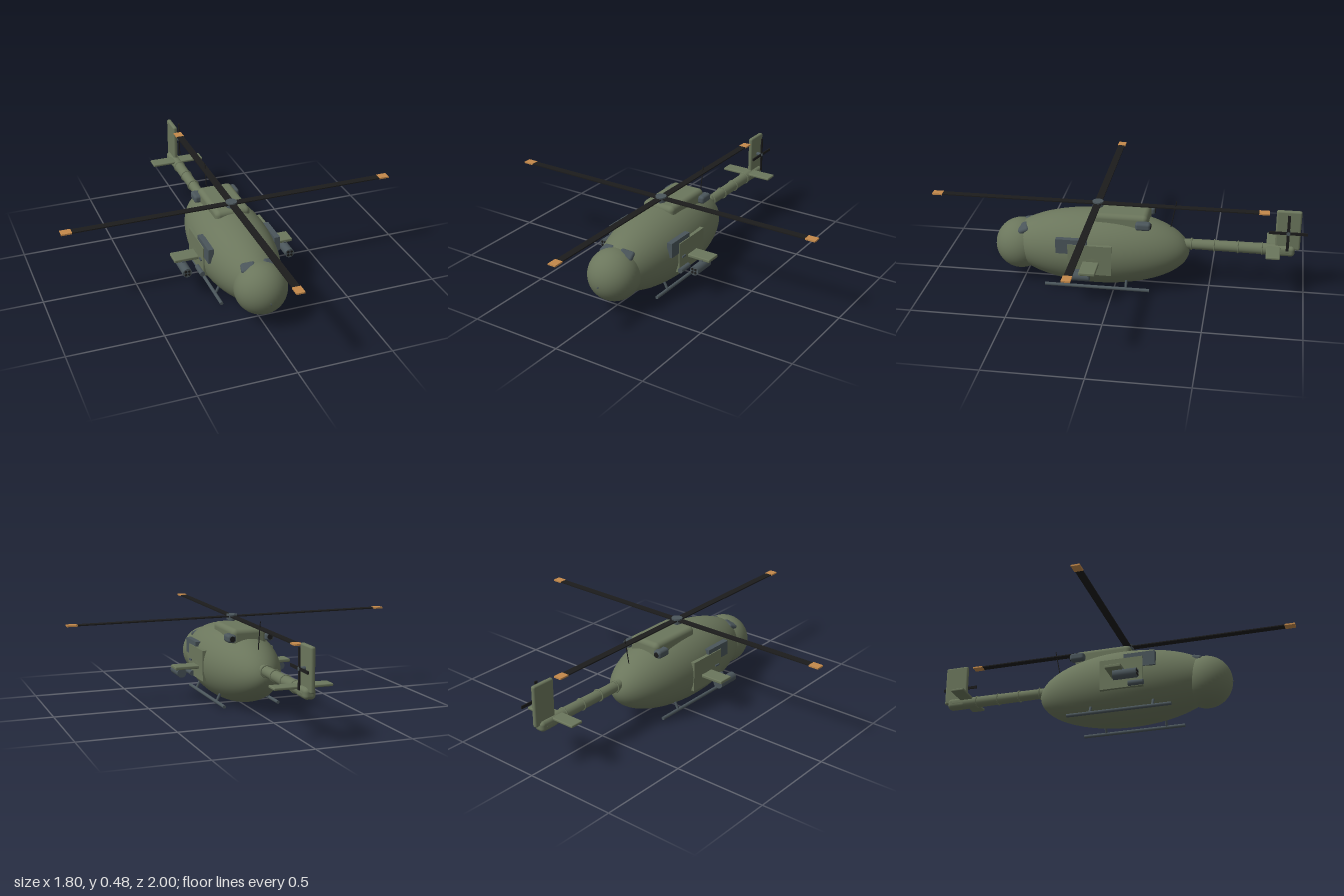
import * as THREE from 'three';
import { RoundedBoxGeometry } from 'three/addons/geometries/RoundedBoxGeometry.js';

const material = (name, color) => {
  const m = new THREE.MeshStandardMaterial({ color });
  m.name = name;
  return m;
};

export function createModel() {
  const model = new THREE.Group();
  model.name = 'helicopter';
  const olive = material('olive paint', 0x6b765c);
  const grey = material('dark grey metal', 0x4a555a);
  const black = material('blade black', 0x1c1c1c);
  const orange = material('tip orange', 0xc4894a);

  const add = (name, geometry, mat, x, y, z, parent = model) => {
    const mesh = new THREE.Mesh(geometry, mat);
    mesh.name = name;
    mesh.position.set(x, y, z);
    parent.add(mesh);
    return mesh;
  };
  const box = (w, h, d) => new THREE.BoxGeometry(w, h, d);
  const rounded = (w, h, d, r) => new RoundedBoxGeometry(w, h, d, 4, r);
  const rodZ = (r0, r1, length, sides = 24) =>
    new THREE.CylinderGeometry(r0, r1, length, sides).rotateX(Math.PI / 2);
  // Thin rod between two points
  const strut = (name, a, b, r, mat) => {
    const start = new THREE.Vector3(...a), end = new THREE.Vector3(...b);
    const dir = end.clone().sub(start);
    const mesh = add(name, new THREE.CylinderGeometry(r, r, dir.length(), 12), mat,
      ...start.clone().add(end).multiplyScalar(0.5).toArray());
    mesh.quaternion.setFromUnitVectors(new THREE.Vector3(0, 1, 0), dir.normalize());
    return mesh;
  };

  // Fuselage and nose
  const hull = new THREE.SphereGeometry(1, 48, 32).rotateX(Math.PI / 2).scale(0.202, 0.202, 0.49);
  add('fuselage', hull, olive, 0, 0.21, 0.1);
  add('nose', new THREE.SphereGeometry(0.137, 40, 28), olive, 0, 0.195, 0.52);
  add('noseProbe', rodZ(0.003, 0.003, 0.02, 8), grey, 0, 0.18, 0.655);

  // Engine cover
  add('engineCover', rounded(0.19, 0.09, 0.31, 0.025), olive, 0, 0.385, -0.02);

  // Tail boom with bands and end cap
  add('tailBoom', rodZ(0.027, 0.031, 0.56), olive, 0, 0.25, -0.63);
  for (const z of [-0.4, -0.52, -0.645, -0.77])
    add('boomBand', new THREE.TorusGeometry(0.03, 0.004, 8, 28), olive, 0, 0.25, z);
  add('tailCap', rounded(0.06, 0.056, 0.11, 0.02), olive, 0, 0.25, -0.885);
  add('tailFin', rounded(0.024, 0.22, 0.13, 0.01), olive, 0, 0.365, -0.9);
  add('stabilizer', rounded(0.3, 0.014, 0.073, 0.005), olive, 0, 0.268, -0.828);

  // Tail rotor
  add('tailRotorHub', new THREE.CylinderGeometry(0.01, 0.01, 0.04, 16).rotateZ(Math.PI / 2),
    grey, 0.027, 0.365, -0.9);
  add('tailRotorBlade', box(0.006, 0.2, 0.015), black, 0.042, 0.365, -0.9);
  add('tailRotorBlade', box(0.006, 0.015, 0.2), black, 0.042, 0.365, -0.9);

  // Main rotor
  const rotor = new THREE.Group();
  rotor.name = 'mainRotor';
  rotor.position.set(0, 0.455, 0.1);
  model.add(rotor);
  add('rotorMast', new THREE.CylinderGeometry(0.016, 0.016, 0.06, 20), grey, 0, -0.03, 0, rotor);
  add('rotorHub', new THREE.CylinderGeometry(0.029, 0.029, 0.028, 24), grey, 0, -0.003, 0, rotor);
  for (let i = 0; i < 4; i++) {
    const arm = new THREE.Group();
    arm.name = 'rotorArm';
    arm.rotation.y = i * Math.PI / 2;
    rotor.add(arm);
    add('rotorBlade', box(0.83, 0.006, 0.038), black, 0.435, 0, 0, arm);
    add('bladeTip', box(0.055, 0.008, 0.044), orange, 0.8725, 0, 0, arm);
  }

  // Whip antenna
  strut('antenna', [0, 0.34, -0.288], [0, 0.49, -0.316], 0.0025, black);

  // Paired parts
  for (const s of [-1, 1]) {
    // Brow windows over the nose
    const brow = add('browWindow', rounded(0.075, 0.032, 0.06, 0.014), grey, s * 0.058, 0.306, 0.495);
    brow.rotation.set(0.35, s * 0.2, -s * 0.3);

    // Engine exhausts
    add('exhaust', rounded(0.046, 0.042, 0.08, 0.014), grey, s * 0.104, 0.384, -0.153);
    add('exhaustOpening', rodZ(0.014, 0.014, 0.004), black, s * 0.104, 0.384, -0.193);

    // Cabin window and sliding door
    add('cabinWindow', box(0.03, 0.08, 0.165), grey, s * 0.181, 0.28, 0.212);
    add('cabinDoor', box(0.026, 0.165, 0.23), olive, s * 0.188, 0.2125, 0.115);
    add('doorHandle', box(0.008, 0.008, 0.03), grey, s * 0.204, 0.213, 0.195);

    // Side sensor
    add('sideSensor', rodZ(0.014, 0.014, 0.08, 16), grey, s * 0.207, 0.145, 0.195);

    // Stub wing, pylon and pod
    add('stubWing', rounded(0.17, 0.018, 0.086, 0.005), olive, s * 0.245, 0.195, 0.108);
    add('podPylon', box(0.012, 0.02, 0.05), grey, s * 0.285, 0.182, 0.13);
    add('pod', rodZ(0.025, 0.025, 0.125), grey, s * 0.285, 0.162, 0.162);
    for (let i = 0; i < 4; i++) {
      const a = Math.PI / 4 + i * Math.PI / 2;
      add('podTube', rodZ(0.007, 0.007, 0.004, 14), black,
        s * 0.285 + 0.013 * Math.cos(a), 0.162 + 0.013 * Math.sin(a), 0.225);
    }

    // Landing skids
    add('skid', rodZ(0.009, 0.009, 0.56, 16), grey, s * 0.15, 0.032, 0.085);
    for (const z of [0.265, -0.07])
      strut('skidStrut', [s * 0.15, 0.032, z], [s * 0.115, 0.1, z], 0.007, grey);
  }
  return model;
}
